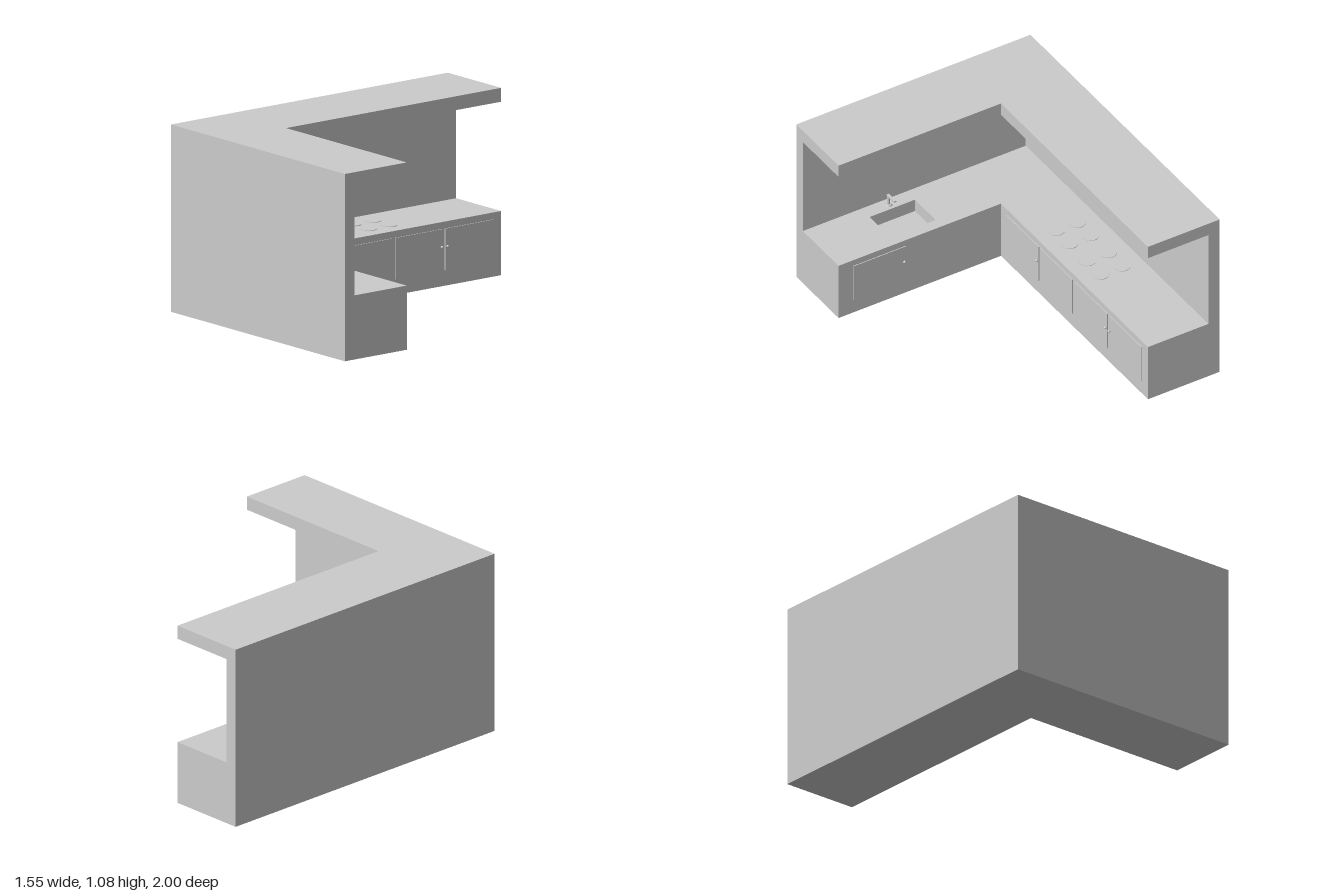
import * as THREE from 'three';

const X0 = -0.775, X1 = 0.775, Z0 = -1, Z1 = 1;
const INX = -0.3, INZ = 0.553; // inner faces of the two arms
const TOP = 0.37;              // worktop height

export function createModel() {
  const group = new THREE.Group();
  const material = new THREE.MeshStandardMaterial({ color: 0xcccccc });

  const add = (name, geometry, x = 0, y = 0, z = 0, parent = group) => {
    const mesh = new THREE.Mesh(geometry, material);
    mesh.name = name;
    mesh.position.set(x, y, z);
    parent.add(mesh);
    return mesh;
  };

  // L-shaped slab between two heights; the inner corner sits at (ix, iz)
  const slab = (name, ix, iz, y0, y1, hole) => {
    const corners = [[X0, Z0], [ix, Z0], [ix, iz], [X1, iz], [X1, Z1], [X0, Z1]];
    const shape = new THREE.Shape(corners.map(([x, z]) => new THREE.Vector2(x, z)));
    if (hole) shape.holes.push(hole);
    const geometry = new THREE.ExtrudeGeometry(shape, { depth: y1 - y0, bevelEnabled: false });
    geometry.rotateX(Math.PI / 2);
    return add(name, geometry, 0, y1, 0);
  };

  // Counter with a sunken sink, back walls and canopy
  const sink = { x: 0.24, z: 0.73, w: 0.3, d: 0.22, floor: 0.29 };
  const hole = new THREE.Path([[-1, -1], [-1, 1], [1, 1], [1, -1]].map(([a, b]) =>
    new THREE.Vector2(sink.x + a * sink.w / 2, sink.z + b * sink.d / 2)));
  slab('counter', INX, INZ, 0, TOP, hole);
  add('sinkFloor', new THREE.BoxGeometry(sink.w, sink.floor, sink.d), sink.x, sink.floor / 2, sink.z);
  slab('backWalls', -0.7, 0.93, TOP, 1);
  slab('canopy', INX, INZ, 1, 1.08);

  // Cupboard door facing local +z, with a round knob near one edge
  const doorGeometry = new THREE.BoxGeometry(0.345, 0.24, 0.006);
  const knobGeometry = new THREE.SphereGeometry(0.008, 16, 12);
  const stemGeometry = new THREE.CylinderGeometry(0.004, 0.004, 0.012, 12).rotateX(Math.PI / 2);
  const cupboard = (x, z, turn, knobX) => {
    const door = new THREE.Group();
    door.name = 'cupboardDoor';
    add('doorPanel', doorGeometry, 0, 0.21, 0.002, door);
    if (knobX !== null) {
      add('knobStem', stemGeometry, knobX, 0.228, 0.007, door);
      add('knob', knobGeometry, knobX, 0.228, 0.011, door);
    }
    door.position.set(x, 0, z);
    door.rotation.y = turn;
    group.add(door);
  };
  const edge = 0.16;
  cupboard(INX, 0.32, Math.PI / 2, edge);
  cupboard(INX, -0.035, Math.PI / 2, null);
  cupboard(INX, -0.405, Math.PI / 2, edge);
  cupboard(INX, -0.765, Math.PI / 2, -edge);
  cupboard(0.505, INZ, Math.PI, edge);

  // Two hobs of four flat burners
  const burner = new THREE.CylinderGeometry(0.048, 0.048, 0.004, 32);
  for (const z of [0.178, 0.037, -0.15, -0.294])
    for (const x of [-0.57, -0.43]) add('burner', burner, x, TOP + 0.001, z);

  // Tap: base, upright and spout reaching over the sink
  const tap = new THREE.Group();
  tap.name = 'tap';
  tap.position.set(sink.x, TOP, 0.88);
  group.add(tap);
  add('tapBase', new THREE.CylinderGeometry(0.018, 0.022, 0.008, 24), 0, 0.004, 0, tap);
  add('tapUpright', new THREE.CylinderGeometry(0.008, 0.008, 0.066, 16), 0, 0.035, 0, tap);
  add('tapSpout', new THREE.BoxGeometry(0.016, 0.008, 0.078), 0, 0.066, -0.031, tap);

  return group;
}
